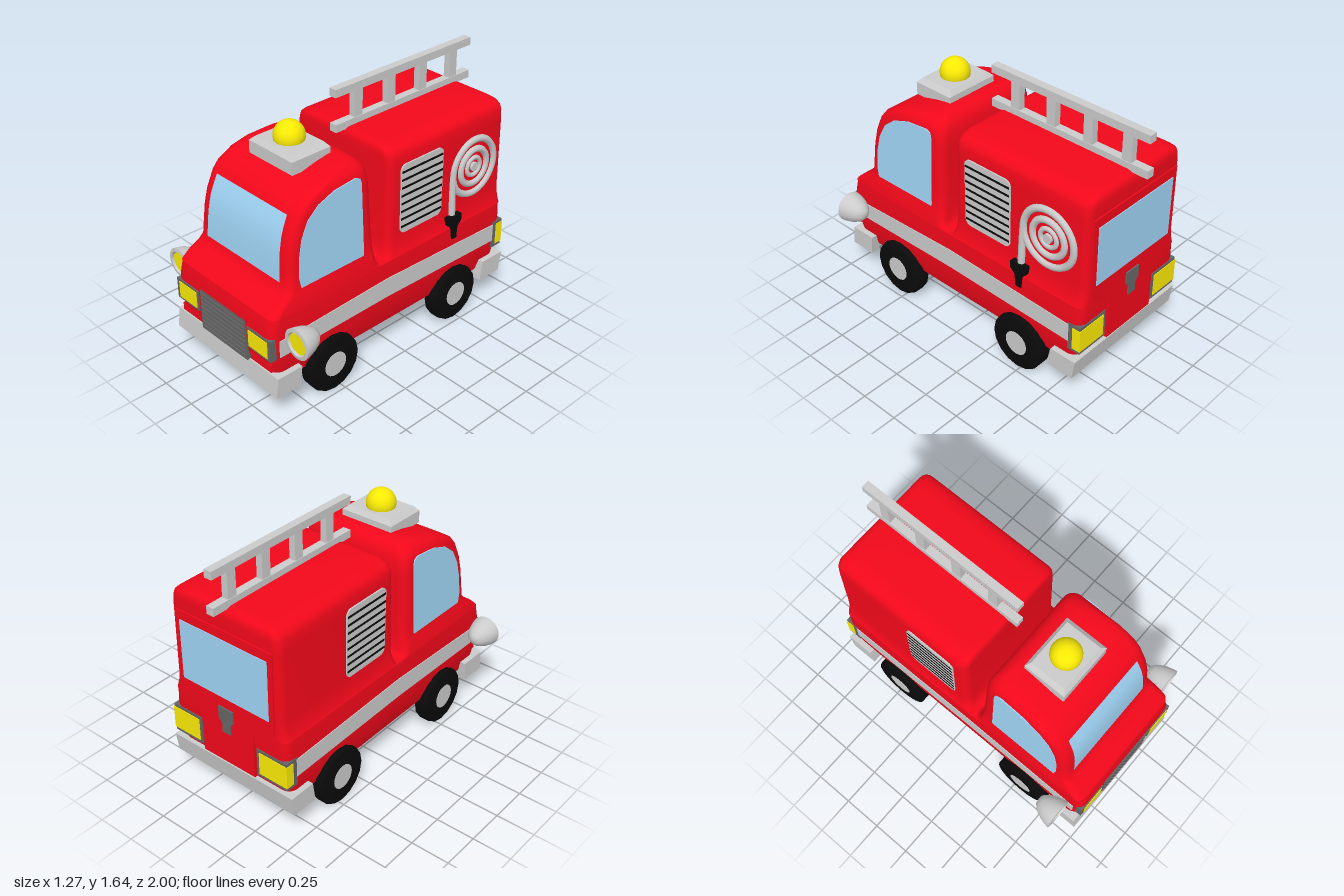
import * as THREE from 'three';
import { toCreasedNormals } from 'three/addons/utils/BufferGeometryUtils.js';

const mat = (color) => new THREE.MeshStandardMaterial({ color });
const red = mat(0xf2081a), glass = mat(0xa0d4f5), yellow = mat(0xfaea05);
const black = mat(0x0a0a0a), dark = mat(0x666666), grey = mat(0xcccccc);

// Body sections by height: [y, half width, back z, front z, corner radius]
const LOWER = [
  [0.23, 0.41, -0.87, 0.92, 0.05], [0.30, 0.428, -0.885, 0.955, 0.06], [0.40, 0.437, -0.91, 0.98, 0.06],
  [0.58, 0.437, -0.92, 0.985, 0.06], [0.67, 0.433, -0.92, 0.965, 0.06],
];
const CAB = [
  [0.67, 0.433, 0.14, 0.965, 0.05], [0.68, 0.432, 0.157, 0.955, 0.05], [0.715, 0.428, 0.168, 0.915, 0.05],
  [0.76, 0.417, 0.174, 0.85, 0.05], [0.80, 0.408, 0.177, 0.82, 0.05], [0.90, 0.404, 0.18, 0.814, 0.06],
  [1.00, 0.399, 0.182, 0.804, 0.06], [1.10, 0.394, 0.185, 0.782, 0.06], [1.20, 0.389, 0.187, 0.74, 0.06],
  [1.25, 0.386, 0.19, 0.70, 0.06], [1.30, 0.379, 0.197, 0.625, 0.07], [1.335, 0.362, 0.21, 0.53, 0.07],
  [1.36, 0.33, 0.232, 0.43, 0.07], [1.376, 0.27, 0.26, 0.34, 0.03],
];
const CARGO = [
  [0.67, 0.433, -0.92, 0.105, 0.05], [0.68, 0.428, -0.92, 0.095, 0.05], [0.73, 0.413, -0.92, 0.082, 0.05],
  [0.80, 0.406, -0.92, 0.075, 0.05], [1.25, 0.402, -0.92, 0.067, 0.05], [1.31, 0.398, -0.92, 0.066, 0.05],
  [1.34, 0.387, -0.918, 0.065, 0.05], [1.36, 0.365, -0.91, 0.06, 0.05], [1.374, 0.325, -0.895, 0.05, 0.05],
  [1.38, 0.27, -0.87, 0.03, 0.05], [1.381, 0.2, -0.8, -0.04, 0.05],
];

// Skin rounded rectangles stacked in y, closed at both ends
function loft(levels) {
  const pos = [], idx = [], seg = 5, n = 4 * (seg + 1);
  for (const [y, w, zb, zf, r] of levels) {
    for (let c = 0; c < 4; c++) {
      const sx = c === 0 || c === 3 ? 1 : -1;
      const cx = sx * (w - r), cz = c < 2 ? zf - r : zb + r;
      for (let k = 0; k <= seg; k++) {
        const a = (c + k / seg) * Math.PI / 2;
        pos.push(cx + r * Math.cos(a), y, cz + r * Math.sin(a));
      }
    }
  }
  const top = levels.length - 1, base = levels.length * n;
  for (const l of [levels[0], levels[top]]) pos.push(0, l[0], (l[2] + l[3]) / 2);
  for (let i = 0; i < n; i++) {
    const j = (i + 1) % n;
    for (let l = 0; l < top; l++) {
      const a = l * n + i, b = l * n + j;
      idx.push(a, a + n, b, b, a + n, b + n);
    }
    idx.push(base, i, j, base + 1, top * n + j, top * n + i);
  }
  const g = new THREE.BufferGeometry();
  g.setAttribute('position', new THREE.Float32BufferAttribute(pos, 3));
  g.setIndex(idx);
  return toCreasedNormals(g, 0.75);
}

// Front z of the cab at height y
function cabFront(y) {
  let i = 0;
  while (i < CAB.length - 2 && CAB[i + 1][0] < y) i++;
  const [a, b] = [CAB[i], CAB[i + 1]];
  return a[3] + (b[3] - a[3]) * (y - a[0]) / (b[0] - a[0]);
}

const polygon = (pts) => new THREE.Shape(pts.map(([x, y]) => new THREE.Vector2(x, y)));
const extrude = (shape, depth) =>
  new THREE.ExtrudeGeometry(shape, { depth, bevelEnabled: false, curveSegments: 6 });

function roundedRect(x0, x1, y0, y1, r) {
  const s = new THREE.Shape();
  s.absarc(x1 - r, y0 + r, r, -Math.PI / 2, 0);
  s.absarc(x1 - r, y1 - r, r, 0, Math.PI / 2);
  s.absarc(x0 + r, y1 - r, r, Math.PI / 2, Math.PI);
  s.absarc(x0 + r, y0 + r, r, Math.PI, Math.PI * 1.5);
  return s;
}

// Plate on a body side, outline given as [z, y]; lean tilts it inwards with height
function sidePlate(side, pts, x, depth, lean = 0) {
  const g = extrude(polygon(pts.map(([z, y]) => [-side * z, y])), depth);
  g.rotateY(side * Math.PI / 2).translate(side * x, 0, 0);
  const p = g.attributes.position;
  for (let i = 0; i < p.count; i++) p.setX(i, p.getX(i) - side * lean * (p.getY(i) - 0.8));
  g.computeVertexNormals();
  return g;
}

export function createModel() {
  const model = new THREE.Group();
  const add = (name, geo, material, x = 0, y = 0, z = 0) => {
    const m = new THREE.Mesh(geo, material);
    m.name = name;
    m.position.set(x, y, z);
    model.add(m);
    return m;
  };
  // Box from its limits
  const box = (name, material, x0, x1, y0, y1, z0, z1) =>
    add(name, new THREE.BoxGeometry(x1 - x0, y1 - y0, z1 - z0), material,
      (x0 + x1) / 2, (y0 + y1) / 2, (z0 + z1) / 2);
  // Box mirrored to both sides
  const pair = (name, material, x0, x1, ...rest) => {
    box(name, material, x0, x1, ...rest);
    box(name, material, -x1, -x0, ...rest);
  };

  // Bodywork
  add('lowerBody', loft(LOWER), red);
  add('cab', loft(CAB), red);
  add('cargoBox', loft(CARGO), red);

  // Windscreen following the curve of the cab
  const screen = new THREE.PlaneGeometry(2, 0.39, 1, 10);
  const sp = screen.attributes.position;
  for (let i = 0; i < sp.count; i++) {
    const y = sp.getY(i) + 1.01;
    sp.setXYZ(i, sp.getX(i) * (0.325 - 0.05 * (y - 0.82)), y, cabFront(y) + 0.004);
  }
  screen.computeVertexNormals();
  add('windscreen', screen, glass);

  // Parts on both sides
  const windowPts = [[0.27, 0.79], [0.28, 0.77], [0.7, 0.765], [0.74, 0.78], [0.753, 0.85], [0.745, 0.97],
    [0.72, 1.08], [0.67, 1.175], [0.59, 1.24], [0.47, 1.28], [0.31, 1.295], [0.28, 1.28], [0.27, 1.25]];
  const stripePts = [[0.93, 0.42], [0.1, 0.43], [-0.84, 0.41], [-0.84, 0.53], [0.1, 0.56], [0.93, 0.53]];
  const tyreProfile = [[0, -0.05], [0.165, -0.05], [0.182, -0.044], [0.187, -0.032], [0.187, 0.032],
    [0.182, 0.044], [0.165, 0.05], [0, 0.05]].map(([r, y]) => new THREE.Vector2(r, y));
  const lampProfile = [[0, -0.15], [0.03, -0.145], [0.06, -0.115], [0.082, -0.07], [0.094, -0.025],
    [0.097, 0], [0.075, 0.003], [0.066, -0.02]].map(([r, y]) => new THREE.Vector2(r, y));
  for (const side of [1, -1]) {
    add('sideWindow', sidePlate(side, windowPts, 0.391, 0.02, 0.047), glass);
    add('sideStripe', sidePlate(side, stripePts, 0.42, 0.022), grey);

    // Side vent with dark slots
    const vent = roundedRect(-0.37, -0.02, 0.8, 1.255, 0.04).getPoints(5).map((p) => [p.x, p.y]);
    add('sideVent', sidePlate(side, vent, 0.39, 0.021), grey);
    for (let i = 0; i < 8; i++)
      add('ventSlot', new THREE.BoxGeometry(0.01, 0.014, 0.34), black, side * 0.408, 0.845 + i * 0.052, -0.195);

    // Wheels
    for (const z of [0.55, -0.475]) {
      const tyre = toCreasedNormals(new THREE.LatheGeometry(tyreProfile, 16), 0.6);
      add('tyre', tyre.rotateZ(Math.PI / 2), black, side * 0.422, 0.187, z);
      add('hub', new THREE.CylinderGeometry(0.08, 0.08, 0.04, 20).rotateZ(Math.PI / 2), grey, side * 0.455, 0.187, z);
    }

    // Round lamps beside the hood
    const shell = toCreasedNormals(new THREE.LatheGeometry(lampProfile, 24), 0.8).rotateX(Math.PI / 2);
    add('roundLampShell', shell, grey, side * 0.54, 0.55, 0.895);
    add('roundLampGlass', new THREE.CylinderGeometry(0.067, 0.067, 0.02, 24).rotateX(Math.PI / 2), yellow,
      side * 0.54, 0.55, 0.876);
  }

  // Nose: grille, rectangular lamps and lower trim
  box('grille', dark, -0.21, 0.21, 0.30, 0.575, 0.94, 0.986);
  for (let i = 0; i < 8; i++) box('grilleSlat', dark, -0.2, 0.2, 0.312 + i * 0.032, 0.332 + i * 0.032, 0.98, 0.992);
  pair('frontLampFrame', dark, 0.225, 0.43, 0.41, 0.55, 0.93, 0.991);
  pair('frontLamp', yellow, 0.24, 0.405, 0.425, 0.535, 0.95, 0.995);
  pair('noseTrim', red, 0.23, 0.41, 0.32, 0.37, 0.92, 0.975);

  // Wrap-around bumpers, outline in plan; the top edge leans by `lean` in z
  const bumper = (name, end, outer, inner, face, lean) => {
    const pts = [[-0.465, inner], [-0.465, outer], [0.465, outer], [0.465, inner],
      [0.4, inner], [0.4, face], [-0.4, face], [-0.4, inner]];
    const g = extrude(polygon(pts.map(([x, z]) => [x, -end * z])), 0.13).rotateX(-Math.PI / 2);
    const p = g.attributes.position;
    for (let i = 0; i < p.count; i++) p.setZ(i, p.getZ(i) + lean * p.getY(i) / 0.13);
    g.computeVertexNormals();
    add(name, g, grey, 0, 0.173, 0);
  };
  bumper('frontBumper', 1, 0.987, 0.81, 0.86, -0.015);
  bumper('rearBumper', -1, 0.895, 0.715, 0.8, -0.02);

  // Tail: door panel, window, handle and lamps
  const door = polygon([[-0.2, 0.33], [0.2, 0.33], [0.2, 0.62], [0.36, 0.70], [0.36, 1.24],
    [-0.36, 1.24], [-0.36, 0.70], [-0.2, 0.62]]);
  add('rearDoor', extrude(door, 0.05), red, 0, 0, -0.928);
  box('rearWindow', glass, -0.325, 0.325, 0.79, 1.18, -0.933, -0.91);
  const handle = polygon([[-0.055, 0.72], [-0.055, 0.64], [-0.03, 0.61], [-0.03, 0.55],
    [0.03, 0.55], [0.03, 0.61], [0.055, 0.64], [0.055, 0.72]]);
  add('rearHandle', extrude(handle, 0.03), dark, 0, 0, -0.938);
  pair('rearLampFrame', dark, 0.215, 0.44, 0.355, 0.545, -0.923, -0.835);
  pair('rearLamp', yellow, 0.235, 0.443, 0.375, 0.525, -0.927, -0.87);

  // Coiled hose on the left side
  for (const [r, t] of [[0.182, 0.023], [0.115, 0.022], [0.058, 0.016]])
    add('hoseCoil', new THREE.TorusGeometry(r, t, 8, 40).rotateY(Math.PI / 2), grey, 0.403, 1.015, -0.65);
  add('hoseCentre', new THREE.CylinderGeometry(0.03, 0.03, 0.04, 20).rotateZ(Math.PI / 2), grey, 0.4, 1.015, -0.65);
  const tail = new THREE.CatmullRomCurve3([[0.403, 1.05, -0.47], [0.406, 0.96, -0.465], [0.415, 0.74, -0.462]]
    .map((p) => new THREE.Vector3(...p)));
  add('hoseTail', new THREE.TubeGeometry(tail, 12, 0.023, 8), grey);
  const nozzle = [[-0.405, 0.755], [-0.405, 0.705], [-0.437, 0.675], [-0.445, 0.595], [-0.483, 0.595],
    [-0.488, 0.675], [-0.52, 0.705], [-0.52, 0.755]];
  add('hoseNozzle', sidePlate(1, nozzle, 0.4, 0.046), black);

  // Beacon on the cab roof
  box('beaconBase', grey, -0.185, 0.185, 1.335, 1.415, 0.315, 0.595);
  const cap = new THREE.CylinderGeometry(Math.SQRT1_2 * 0.84, Math.SQRT1_2, 1, 4, 1).rotateY(Math.PI / 4);
  add('beaconBaseTop', cap.scale(0.37, 0.028, 0.28).toNonIndexed(), grey, 0, 1.429, 0.455).geometry.computeVertexNormals();
  add('beacon', new THREE.SphereGeometry(0.093, 24, 16), yellow, 0, 1.465, 0.455);

  // Ladder on edge along the cargo roof
  for (const y of [1.37, 1.59]) box('ladderRail', grey, -0.026, 0.026, y, y + 0.05, -1, 0.13);
  for (let i = 0; i < 4; i++) {
    const z = -0.052 - i * 0.267;
    box('ladderRung', grey, -0.022, 0.022, 1.41, 1.6, z - 0.032, z + 0.032);
  }
  return model;
}
